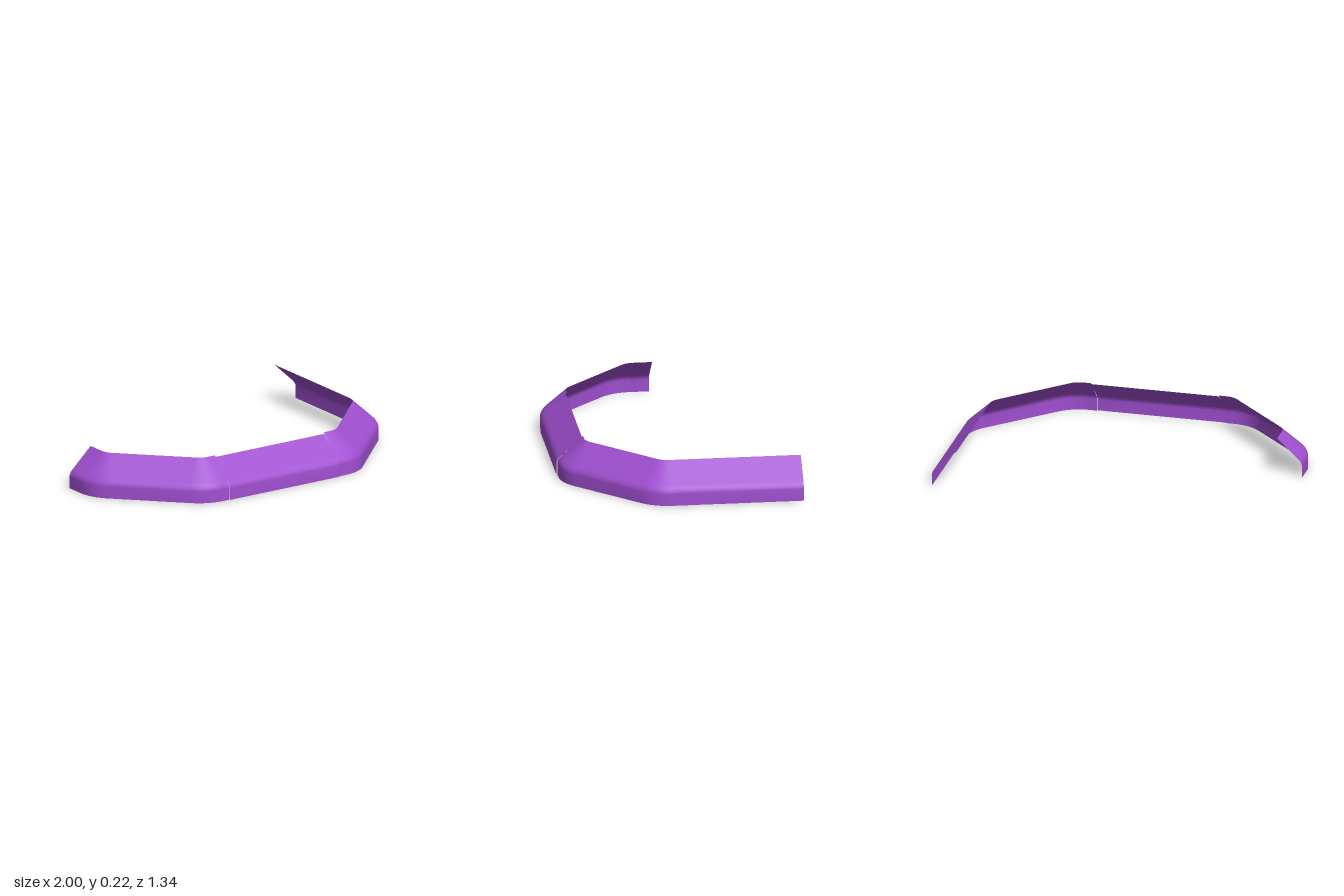
import * as THREE from 'three';

const RADIUS = 0.24; // outer bend radius in plan

// Cross-section: [distance inward from the outer face, height]
const PROFILE = [[0, 0], [0, 0.07], [0.004, 0.085], [0.013, 0.1], [0.027, 0.114], [0.146, 0.225]];

// A station is a bend centre in plan plus the outward direction
const station = (x, z, degrees) => ({ x, z, a: THREE.MathUtils.degToRad(degrees) });

// Stations around one bend
function bend(x, z, from, to, steps = 8) {
  return Array.from({ length: steps + 1 }, (_, i) => station(x, z, from + (to - from) * i / steps));
}

// Sweep the cross-section through a run of stations as an open sheet
function sweep(name, stations, material, { proud = 0, rise = 1 } = {}) {
  const positions = [], index = [], n = PROFILE.length;
  stations.forEach(({ x, z, a }, i) => {
    PROFILE.forEach(([inset, y], j) => {
      const r = RADIUS + proud - inset;
      positions.push(x + r * Math.cos(a), y * rise, z + r * Math.sin(a));
      if (i && j) {
        const d = i * n + j, c = d - n, b = d - 1, p = c - 1;
        index.push(p, b, c, b, d, c);
      }
    });
  });
  const geometry = new THREE.BufferGeometry();
  geometry.setAttribute('position', new THREE.Float32BufferAttribute(positions, 3));
  geometry.setIndex(index);
  geometry.computeVertexNormals();
  const mesh = new THREE.Mesh(geometry, material);
  mesh.name = name;
  return mesh;
}

export function createModel() {
  const group = new THREE.Group();
  group.name = 'angledTrim';
  const material = new THREE.MeshStandardMaterial({ color: 0xa04fd0, side: THREE.DoubleSide });
  const add = (name, stations, options) => group.add(sweep(name, stations, material, options));

  // Short arm on the right, long arm on the left
  add('rightShortArm', [station(-0.76, -0.03, 180), station(-0.76, 0.08, 180)]);
  add('leftLongArm', [station(0.76, 0.08, 0), station(0.76, -0.67, 0)]);

  // Rounded rear bends
  add('rightRearBend', bend(-0.76, 0.08, 180, 135));
  add('leftRearBend', bend(0.76, 0.08, 45, 0));

  // Diagonal panels
  add('rightDiagonal', [station(-0.76, 0.08, 135), station(-0.42, 0.42, 135)]);
  add('leftDiagonal', [station(0.42, 0.42, 45), station(0.76, 0.08, 45)]);

  // Rounded front bends, run on to meet the front panel
  add('rightFrontBend', [...bend(-0.42, 0.42, 135, 90), station(-0.375, 0.42, 90)]);
  add('leftFrontBend', [station(0.375, 0.42, 90), ...bend(0.42, 0.42, 90, 45)]);

  // Front panel, slightly proud and lower than its neighbours
  add('frontPanel', [station(-0.375, 0.42, 90), station(0.375, 0.42, 90)], { proud: 0.006, rise: 0.965 });

  return group;
}
